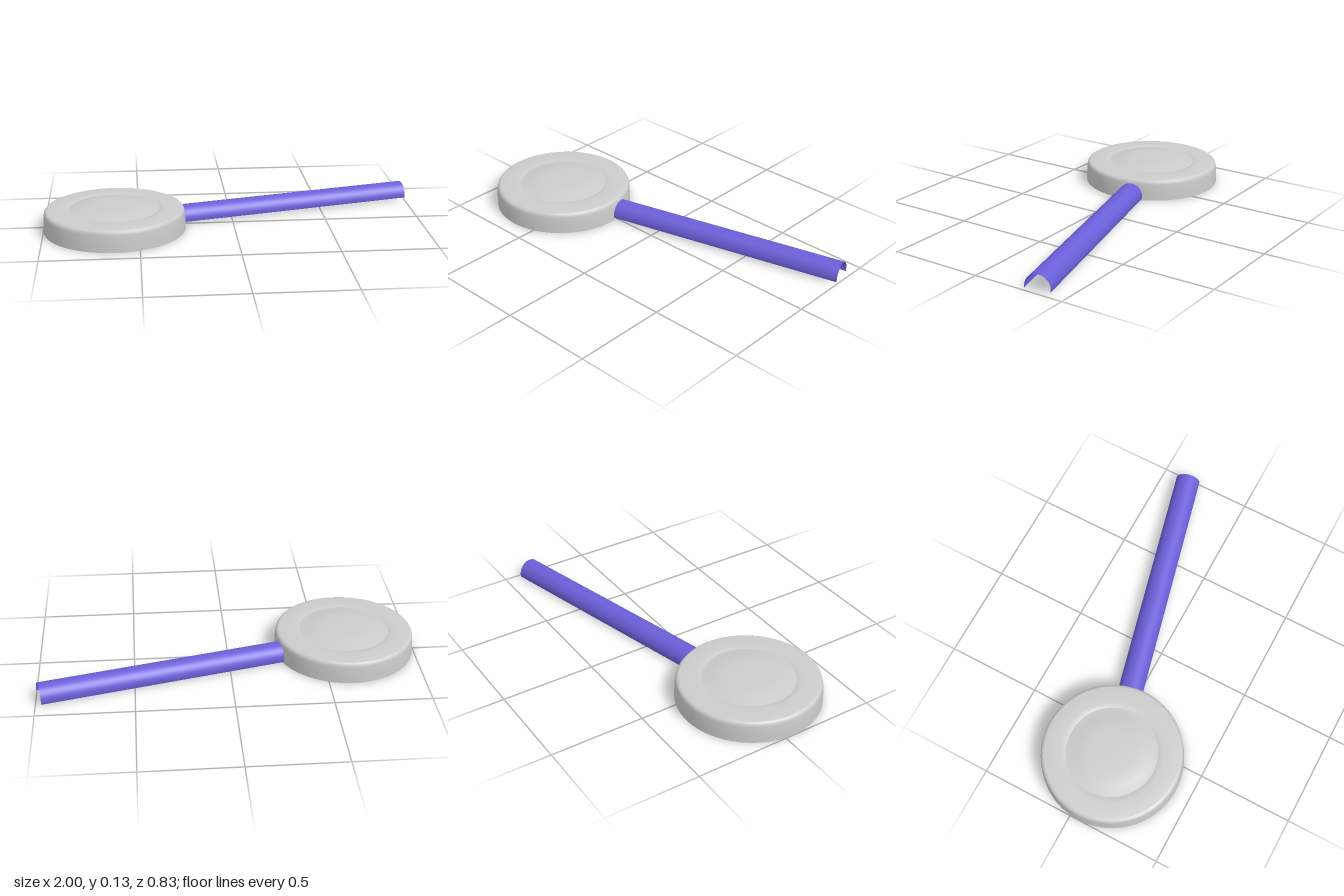
import * as THREE from 'three';

const shellMat = new THREE.MeshStandardMaterial({ color: 0xcccccc, side: THREE.DoubleSide });
const handleMat = new THREE.MeshStandardMaterial({ color: 0x6a5fd8, side: THREE.DoubleSide });

// thin revolved surface from [radius, height] pairs
function revolved(name, points) {
  const profile = points.map(([r, y]) => new THREE.Vector2(r, y));
  const mesh = new THREE.Mesh(new THREE.LatheGeometry(profile, 64), shellMat);
  mesh.name = name;
  return mesh;
}

export function createModel() {
  const model = new THREE.Group();
  model.name = 'panWithHandle';
  const pivot = new THREE.Group();
  pivot.name = 'pan';
  pivot.position.set(-0.628, 0, 0.046);
  pivot.rotation.y = THREE.MathUtils.degToRad(13.9);
  model.add(pivot);

  // hollow disc, open underneath, in three zones with creases between them
  pivot.add(
    revolved('discWall', [[0.372, 0], [0.371, 0.05], [0.368, 0.09], [0.365, 0.102], [0.360, 0.109], [0.351, 0.113]]),
    revolved('discRim', [[0.351, 0.113], [0.33, 0.115], [0.30, 0.117], [0.265, 0.117], [0.25, 0.116], [0.237, 0.112]]),
    revolved('centreDome', [[0.237, 0.112], [0.22, 0.114], [0.19, 0.120], [0.16, 0.126], [0.12, 0.130], [0.06, 0.131], [0, 0.131]])
  );

  // arched handle, open underneath, back edge hanging slightly lower
  const back = THREE.MathUtils.degToRad(15);
  const front = THREE.MathUtils.degToRad(9);
  const start = 0.36, end = 1.662;
  const arch = new THREE.CylinderGeometry(0.066, 0.066, end - start, 32, 1, true,
    Math.PI - back, Math.PI + back + front);
  arch.rotateZ(-Math.PI / 2);
  const handle = new THREE.Mesh(arch, handleMat);
  handle.name = 'handle';
  handle.position.set((start + end) / 2, 0.025, 0);
  pivot.add(handle);

  return model;
}
